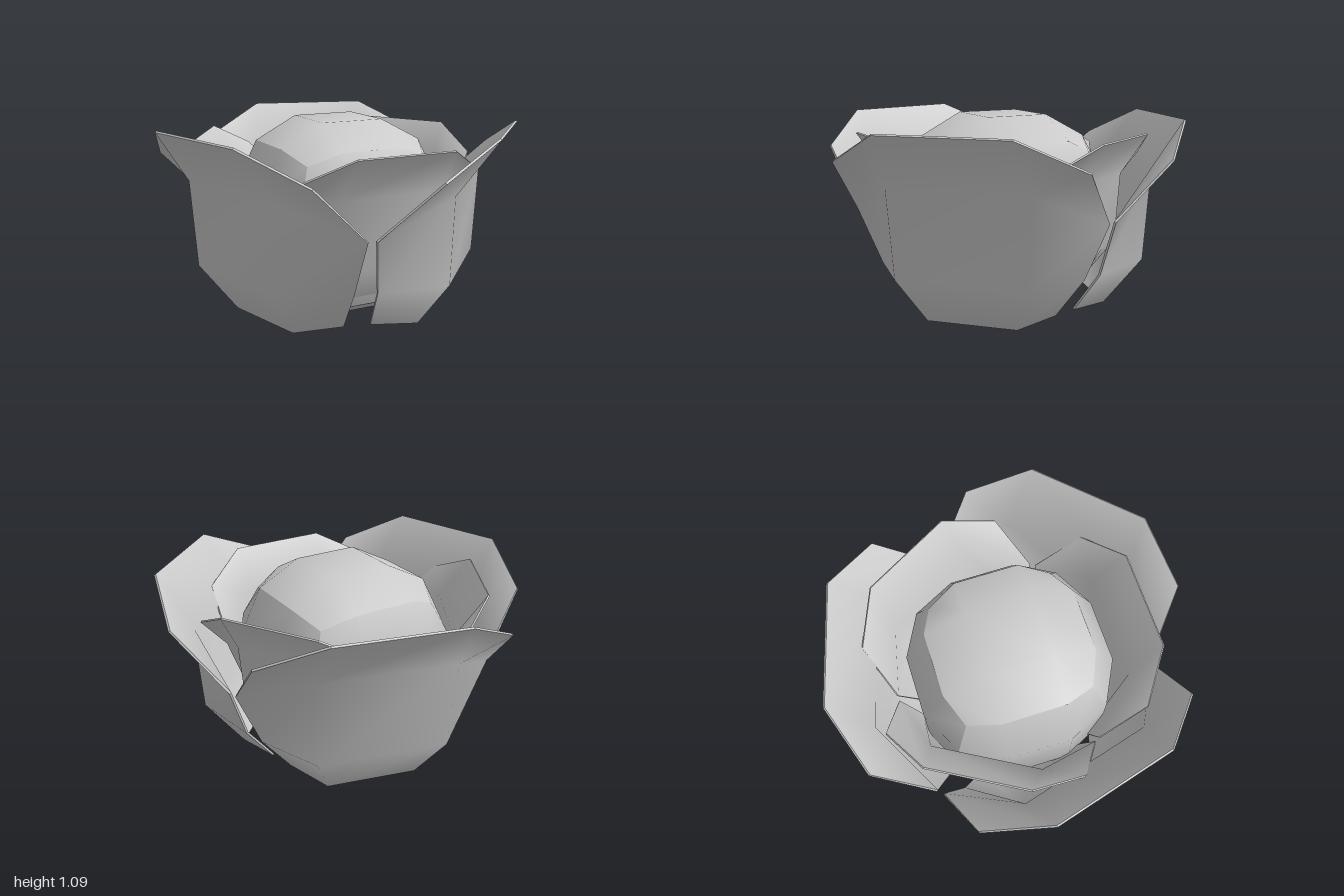
import * as THREE from 'three';
import { mergeGeometries } from 'three/addons/utils/BufferGeometryUtils.js';

const material = new THREE.MeshStandardMaterial({ color: 0xcccccc });
const THICKNESS = 0.012;

// Half of the leaf, rows from tip to base: [middle, edge], each as (sideways, up, outward)
const LEAF_ROWS = [
  [[0.346, 1.06, 0.955], [0.665, 0.89, 0.75]],
  [[0.38, 0.77, 0.745], [0.7, 0.59, 0.431]],
  [[0.35, 0.29, 0.725], [0.571, 0.28, 0.4]],
  [[0.25, 0.02, 0.54], [0.4, 0.04, 0.315]],
];

// Cupped leaf: outer skin, inner skin and a rim between them
function leafGeometry() {
  const outer = new THREE.PlaneGeometry(1, 1, 3, 3);
  LEAF_ROWS.forEach(([mid, edge], r) => {
    [edge, mid, mid, edge].forEach(([x, y, z], c) => {
      outer.attributes.position.setXYZ(r * 4 + c, c < 2 ? -x : x, y, z);
    });
  });
  outer.computeVertexNormals();

  const inner = outer.clone();
  const pos = inner.attributes.position;
  const p = new THREE.Vector3();
  const n = new THREE.Vector3();
  for (let i = 0; i < pos.count; i++) {
    p.fromBufferAttribute(pos, i);
    n.fromBufferAttribute(outer.attributes.normal, i);
    p.addScaledVector(n, -THICKNESS);
    pos.setXYZ(i, p.x, p.y, p.z);
  }
  inner.setIndex(Array.from(inner.index.array).reverse());
  inner.computeVertexNormals();

  const loop = [0, 1, 2, 3, 7, 11, 15, 14, 13, 12, 8, 4];
  const corners = [];
  const add = (g, i) => corners.push(...p.fromBufferAttribute(g.attributes.position, i).toArray());
  loop.forEach((a, k) => {
    const b = loop[(k + 1) % loop.length];
    add(outer, a); add(outer, b); add(inner, b);
    add(outer, a); add(inner, b); add(inner, a);
  });
  const rim = new THREE.BufferGeometry();
  rim.setAttribute('position', new THREE.Float32BufferAttribute(corners, 3));
  rim.computeVertexNormals();

  const skins = [outer, inner].map((g) => g.toNonIndexed().deleteAttribute('uv'));
  return mergeGeometries([...skins, rim]);
}

// Head: a cube of 3 x 3 panels per side, rounded into a ball with creases between sides
function headGeometry() {
  const g = new THREE.BoxGeometry(1, 1, 1, 3, 3, 3);
  const pos = g.attributes.position;
  const reach = [0, 0.545, 0.42, 0.35]; // side panel, cube edge, cube corner
  for (let i = 0; i < pos.count; i++) {
    const v = [pos.getX(i), pos.getY(i), pos.getZ(i)];
    const isOuter = (a) => Math.abs(a) > 0.4;
    const r = reach[v.filter(isOuter).length];
    pos.setXYZ(i, ...v.map((a) => Math.sign(a) * (isOuter(a) ? r : 0.18)));
  }
  g.computeVertexNormals();
  return g;
}

export function createModel() {
  const model = new THREE.Group();
  model.name = 'leafyHead';

  const head = new THREE.Mesh(headGeometry(), material);
  head.name = 'head';
  head.position.y = 0.545;
  model.add(head);

  // Two rings of three leaves, the inner ring smaller and turned between the outer ones
  const leaf = leafGeometry();
  const rings = [
    { name: 'outerLeaf', scale: 1, lift: 0, turn: 45 },
    { name: 'innerLeaf', scale: 0.8, lift: 0.142, turn: 0 },
  ];
  for (const { name, scale, lift, turn } of rings) {
    for (let i = 0; i < 3; i++) {
      const mesh = new THREE.Mesh(leaf, material);
      mesh.name = name + (i + 1);
      mesh.scale.setScalar(scale);
      mesh.position.y = lift;
      mesh.rotation.y = THREE.MathUtils.degToRad(turn + i * 120);
      model.add(mesh);
    }
  }
  return model;
}
